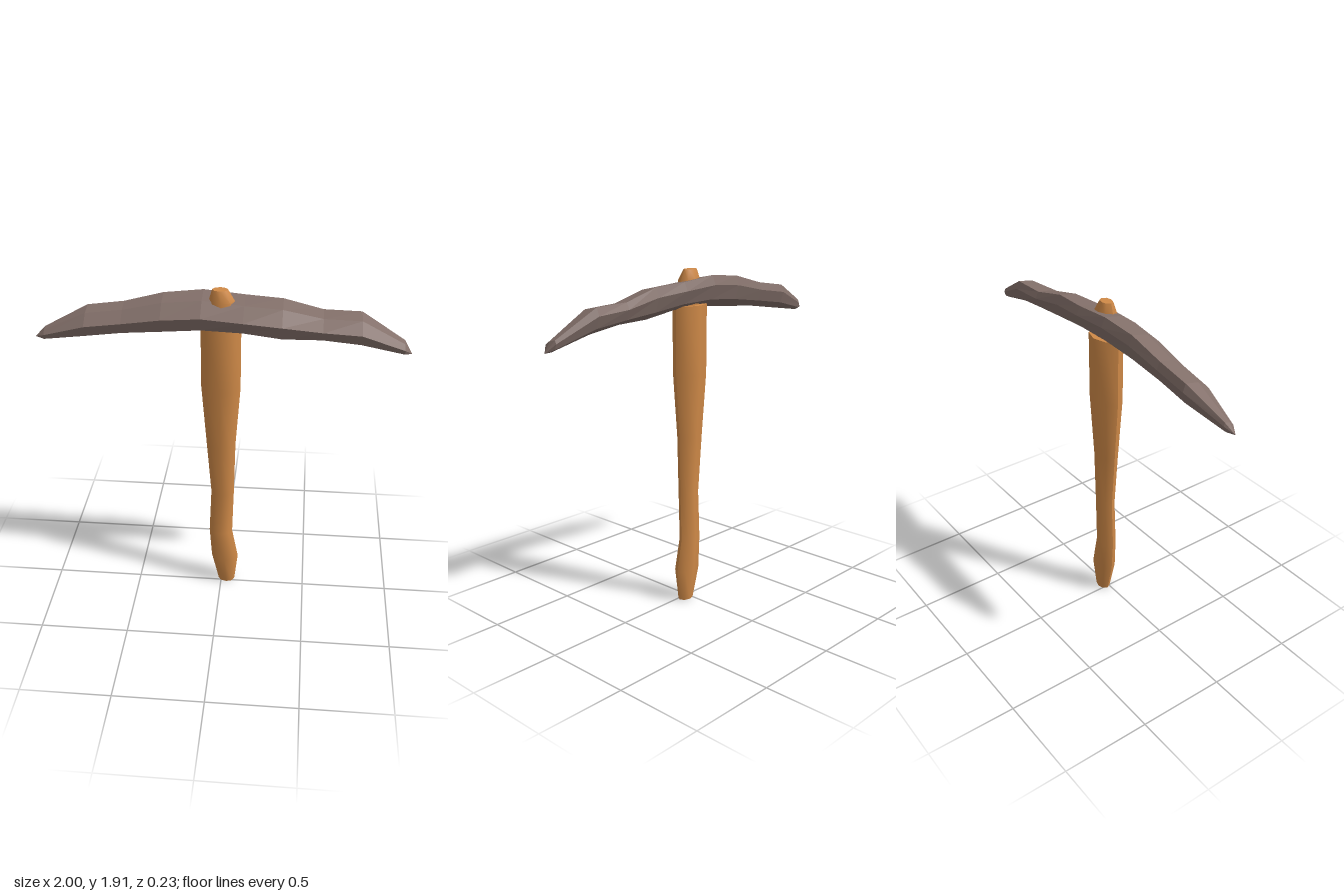
import * as THREE from 'three';
import { toCreasedNormals } from 'three/addons/utils/BufferGeometryUtils.js';

// Skin a list of equal-length rings of [x, y, z] points, closing both ends to a point
function loft(rings, start, end) {
  const n = rings[0].length;
  const points = [...rings.flat(), start, end];
  const index = [];
  const first = rings.length * n, last = first + 1;
  for (let j = 0; j < n; j++) {
    const k = (j + 1) % n;
    for (let i = 0; i < rings.length - 1; i++) {
      const a = i * n + j, b = a + n, c = b - j + k, d = i * n + k;
      index.push(a, b, c, a, c, d);
    }
    const top = (rings.length - 1) * n;
    index.push(first, j, k, top + j, last, top + k);
  }
  const geometry = new THREE.BufferGeometry();
  geometry.setAttribute('position', new THREE.Float32BufferAttribute(points.flat(), 3));
  geometry.setIndex(index);
  return geometry;
}

// Shaft made of eight-sided elliptical rings: [y, left edge, right edge, z radius]
function shaft(profile) {
  const rings = profile.map(([y, x0, x1, rz]) =>
    Array.from({ length: 8 }, (_, i) => {
      const t = (i / 8) * Math.PI * 2;
      return [(x0 + x1) / 2 + (x1 - x0) / 2 * Math.cos(t), y, -0.02 + rz * Math.sin(t)];
    }));
  const centre = ([y, x0, x1]) => [(x0 + x1) / 2, y, -0.02];
  const geometry = loft(rings, centre(profile[0]), centre(profile[profile.length - 1]));
  return toCreasedNormals(geometry, 0.9);
}

export function createModel() {
  const group = new THREE.Group();
  const wood = new THREE.MeshStandardMaterial({ color: 0xd08a48 });
  const stone = new THREE.MeshStandardMaterial({ color: 0x83706a, flatShading: true });
  const add = (name, geometry, material) => {
    const mesh = new THREE.Mesh(geometry, material);
    mesh.name = name;
    group.add(mesh);
  };

  // Curved grip widening towards the head
  add('handle', shaft([
    [0, -0.016, 0.08, 0.035],
    [0.18, -0.057, 0.1, 0.057],
    [0.37, -0.07, 0.065, 0.048],
    [0.65, -0.058, 0.073, 0.047],
    [0.98, -0.083, 0.08, 0.057],
    [1.34, -0.11, 0.105, 0.077],
    [1.72, -0.11, 0.105, 0.08],
  ]), wood);

  // End of the handle poking out above the head
  add('handleTip', shaft([
    [1.72, -0.06, 0.06, 0.05],
    [1.85, -0.065, 0.07, 0.054],
    [1.91, -0.048, 0.036, 0.03],
  ]), wood);

  // Stone head stations: [x, bottom y, top y, back z, front z]
  const stations = [
    [-0.95, 1.595, 1.655, -0.05, 0.01],
    [-0.72, 1.63, 1.77, -0.105, 0.055],
    [-0.52, 1.66, 1.8, -0.1, 0.065],
    [-0.31, 1.68, 1.855, -0.107, 0.085],
    [-0.1, 1.7, 1.875, -0.12, 0.095],
    [0.12, 1.7, 1.855, -0.12, 0.11],
    [0.32, 1.672, 1.845, -0.108, 0.105],
    [0.53, 1.67, 1.79, -0.11, 0.08],
    [0.73, 1.645, 1.785, -0.11, 0.07],
    [0.96, 1.59, 1.65, -0.06, 0.02],
  ];
  // Faceted section as [depth from back to front, height from bottom to top]
  const section = [[1, 0.52], [0.58, 0.88], [0.1, 1], [0, 0.7], [0.12, 0.25], [0.45, 0], [0.88, 0.1]];
  const rings = stations.map(([x, y0, y1, z0, z1]) =>
    section.map(([u, v]) => [x, y0 + (y1 - y0) * v, z0 + (z1 - z0) * u]));
  add('pickHead', loft(rings, [-1, 1.605, -0.02], [1, 1.587, -0.02]), stone);

  return group;
}
